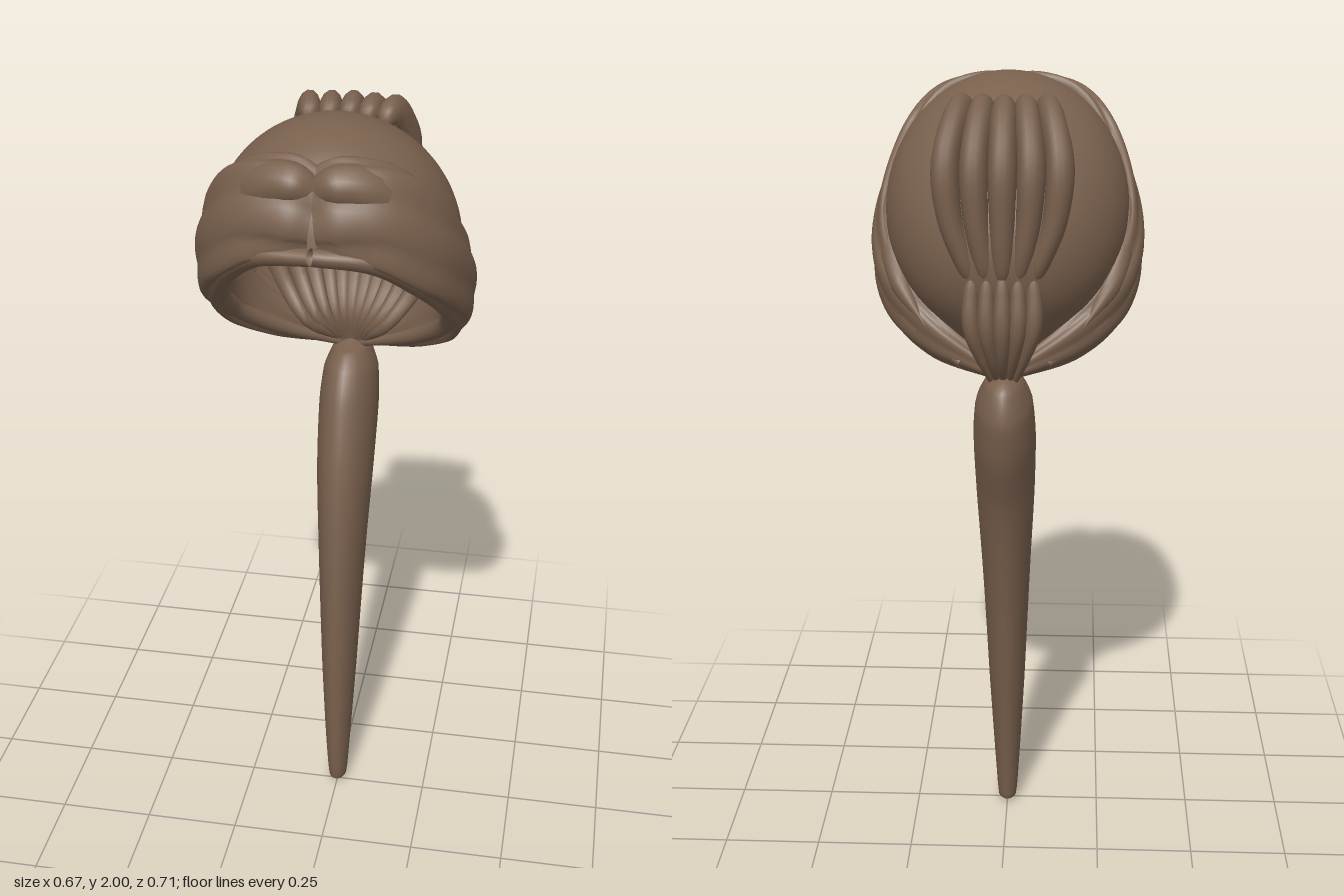
import * as THREE from 'three';
import { mergeVertices } from 'three/addons/utils/BufferGeometryUtils.js';

const hair = new THREE.MeshStandardMaterial({ color: 0x7a614e, side: THREE.DoubleSide });
hair.name = 'brown hair';

// Sweeps an oval along points [x, y, z, a, b]; a is the half size along axis, b across it.
// groove, lobes and twist cut strand grooves into the surface.
function sweep(points, axis, { rings = 32, sides = 14, groove = 0, lobes = 5, twist = 0 } = {}) {
  const path = new THREE.CatmullRomCurve3(points.map(p => new THREE.Vector3(p[0], p[1], p[2])));
  const size = new THREE.CatmullRomCurve3(points.map(p => new THREE.Vector3(p[3], p[4], 0)));
  const pos = [], index = [];
  for (let i = 0; i <= rings; i++) {
    const t = i / rings;
    const c = path.getPoint(t), s = size.getPoint(t), T = path.getTangent(t);
    const A = axis.clone().addScaledVector(T, -axis.dot(T)).normalize();
    const B = T.clone().cross(A);
    for (let j = 0; j < sides; j++) {
      const th = (j / sides) * Math.PI * 2;
      const k = 1 + groove * (Math.abs(Math.cos((lobes * th + twist * t) / 2)) - 0.7);
      const p = c.clone()
        .addScaledVector(A, Math.cos(th) * Math.max(s.x, 0.0005) * k)
        .addScaledVector(B, Math.sin(th) * Math.max(s.y, 0.0005) * k);
      pos.push(p.x, p.y, p.z);
      if (i < rings) {
        const a = i * sides + j, b = i * sides + (j + 1) % sides;
        index.push(a, b, b + sides, a, b + sides, a + sides);
      }
    }
  }
  const g = new THREE.BufferGeometry();
  g.setAttribute('position', new THREE.Float32BufferAttribute(pos, 3));
  g.setIndex(index);
  g.computeVertexNormals();
  return g;
}

// The dome is an ellipsoid whose depth leans forward with height
const MID_Y = 1.68, RX = 0.298, R = 0.32, LEAN = 0.2;
const TIE = new THREE.Vector3(0, 1.32, -0.23);

// Open dome, tilted back, with its lowest edge drawn in to the tie
function capGeometry() {
  let g = new THREE.SphereGeometry(R, 64, 40, 0, Math.PI * 2, 0, 1.95);
  g.deleteAttribute('uv');
  g.deleteAttribute('normal');
  g = mergeVertices(g, 1e-5);
  g.rotateX(-0.73);
  g.scale(RX / R, 1, 1);
  const p = g.attributes.position, v = new THREE.Vector3();
  for (let i = 0; i < p.count; i++) {
    v.fromBufferAttribute(p, i);
    v.z += LEAN * v.y;
    v.y += MID_Y;
    const w = Math.min(1, Math.max(0, (1.48 - v.y) / 0.11));
    v.lerp(TIE, 0.9 * w * w);
    p.setXYZ(i, v.x, v.y, v.z);
  }
  g.computeVertexNormals();
  return g;
}

// Depth of the inner back wall of the dome
function wallZ(x, y) {
  const q = 1 - (x / (RX * 0.9)) ** 2 - ((y - MID_Y) / (R * 0.9)) ** 2;
  return LEAN * (y - MID_Y) - R * 0.9 * Math.sqrt(Math.max(q, 0));
}

export function createModel() {
  const model = new THREE.Group();
  model.name = 'hairstyle';
  const X = new THREE.Vector3(1, 0, 0), Z = new THREE.Vector3(0, 0, 1);
  const add = (name, geometry, parent = model) => {
    const m = new THREE.Mesh(geometry, hair);
    m.name = name;
    parent.add(m);
  };
  const group = name => {
    const g = new THREE.Group();
    g.name = name;
    model.add(g);
    return g;
  };

  add('cap', capGeometry());

  // Long tapering tail
  add('tail', sweep([
    [0, 0.0, -0.008, 0, 0], [0, 0.02, -0.008, 0.037, 0.024], [0, 0.14, -0.011, 0.054, 0.033],
    [0, 0.4, -0.033, 0.084, 0.047], [0, 0.75, -0.075, 0.112, 0.062], [0, 1.0, -0.125, 0.128, 0.074],
    [0, 1.15, -0.178, 0.135, 0.077], [0, 1.245, -0.213, 0.122, 0.07],
    [0, 1.305, -0.225, 0.085, 0.045], [0, 1.335, -0.225, 0, 0],
  ], Z, { rings: 54, sides: 24 }));

  // Rolled front band, mirrored about the centre parting
  const band = group('front band');
  const up = new THREE.Vector3(0, 0.95, -0.31);
  for (const s of [1, -1]) {
    const side = s > 0 ? 'left' : 'right';
    const mir = pts => pts.map(([x, ...r]) => [x * s, ...r]);
    add(side + ' roll', sweep(mir([
      [0, 1.86, 0.29, 0.088, 0.035], [0.06, 1.868, 0.287, 0.112, 0.047], [0.15, 1.847, 0.262, 0.115, 0.047],
      [0.238, 1.757, 0.192, 0.108, 0.045], [0.287, 1.65, 0.075, 0.1, 0.042], [0.293, 1.555, -0.025, 0.085, 0.04],
      [0.255, 1.47, -0.105, 0.075, 0.038], [0.16, 1.39, -0.17, 0.055, 0.033], [0.02, 1.32, -0.215, 0.015, 0.015],
    ]), up, { rings: 60, sides: 40, groove: 0.16, lobes: 6, twist: 9 * s }), band);
    // Overlapping clumps on the roll
    add(side + ' crown clump', sweep(mir([
      [0.0, 1.9, 0.29, 0.03, 0.02], [0.05, 1.92, 0.283, 0.048, 0.047], [0.12, 1.905, 0.262, 0.052, 0.045],
      [0.2, 1.83, 0.205, 0.045, 0.035], [0.265, 1.72, 0.11, 0, 0],
    ]), up), band);
    add(side + ' upper strand', sweep(mir([
      [0.14, 1.87, 0.235, 0, 0], [0.215, 1.8, 0.18, 0.032, 0.025], [0.272, 1.71, 0.08, 0.04, 0.028],
      [0.285, 1.61, -0.04, 0.04, 0.028], [0.255, 1.52, -0.135, 0.03, 0.025], [0.19, 1.43, -0.2, 0, 0],
    ]), up), band);
    add(side + ' side clump', sweep(mir([
      [0.3, 1.6, 0.05, 0, 0], [0.308, 1.55, -0.005, 0.045, 0.024], [0.285, 1.485, -0.075, 0.05, 0.028],
      [0.22, 1.42, -0.14, 0.042, 0.03], [0.1, 1.345, -0.2, 0.015, 0.02],
    ]), up), band);
    add(side + ' rim strand', sweep(mir([
      [0, 1.772, 0.333, 0.02, 0.025], [0.13, 1.752, 0.297, 0.024, 0.03], [0.225, 1.67, 0.212, 0.025, 0.028],
      [0.275, 1.565, 0.08, 0.024, 0.026], [0.275, 1.475, -0.03, 0.024, 0.026],
      [0.19, 1.39, -0.125, 0.022, 0.024], [0.03, 1.315, -0.205, 0.01, 0.01],
    ]), up), band);
  }

  // Fan of rolls over the crown and the tuft gathered below it
  const fan = group('back fan'), tuft = group('lower tuft');
  for (let k = -2; k <= 2; k++) {
    const e = Math.abs(k) * 0.008;
    add('fan roll', sweep([
      [0.046 * k, 1.9, -0.15 + e, 0, 0], [0.047 * k, 1.935, -0.167 + e, 0.026, 0.034],
      [0.054 * k, 1.925, -0.225 + e, 0.031, 0.05], [0.065 * k, 1.835, -0.297 + e, 0.033, 0.05],
      [0.06 * k, 1.71, -0.312 + e, 0.029, 0.04], [0.042 * k, 1.6, -0.305 + e, 0.023, 0.032],
      [0.032 * k, 1.53, -0.295 + e, 0, 0],
    ], X), fan);
    add('tuft strand', sweep([
      [0.03 * k, 1.64, -0.3 + e, 0, 0], [0.036 * k, 1.55, -0.312 + e, 0.018, 0.024],
      [0.036 * k, 1.46, -0.32 + e, 0.021, 0.03], [0.025 * k, 1.38, -0.29 + e, 0.016, 0.028],
      [0.012 * k, 1.305, -0.235, 0.009, 0.015],
    ], X), tuft);
  }

  // Strands lining the inside of the cap, fanning up from the tie
  const lining = group('inner lining');
  for (let k = -5; k <= 5; k++) {
    const at = (dx, y, a, b) => [dx * k, y, wallZ(dx * k, y), a, b];
    add('lining strand', sweep([
      [0.006 * k, 1.325, -0.21, 0.007, 0.01], [0.02 * k, 1.4, -0.205 + 0.003 * k * k, 0.016, 0.014],
      at(0.033, 1.49, 0.022, 0.016), at(0.042, 1.6, 0.027, 0.016),
      at(0.044, 1.72, 0.024, 0.014), at(0.04, 1.82, 0, 0),
    ], X, { rings: 24, sides: 10 }), lining);
  }
  return model;
}
